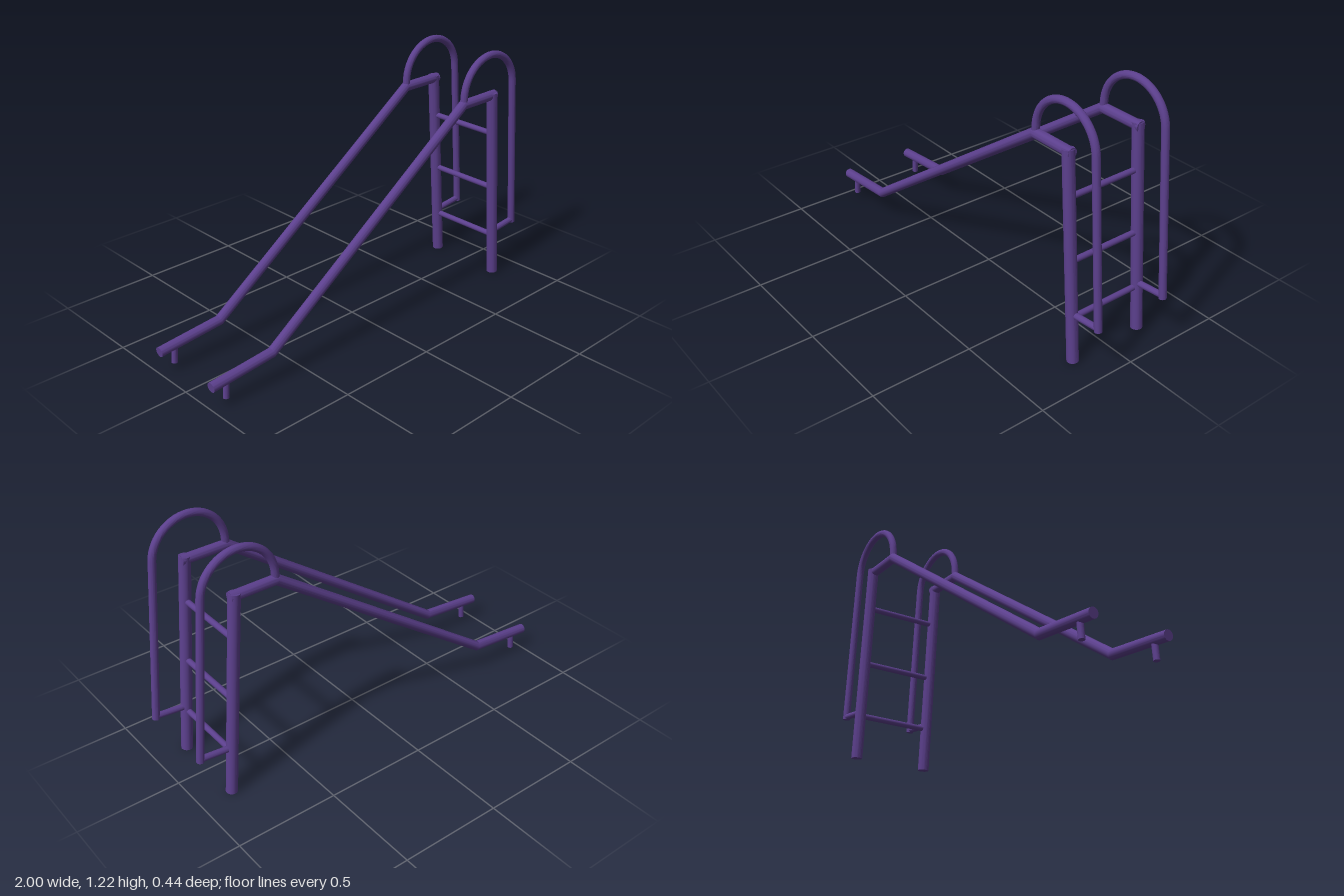
import * as THREE from 'three';
import { toCreasedNormals } from 'three/addons/utils/BufferGeometryUtils.js';

const SIDES = 24;
const material = new THREE.MeshStandardMaterial({ color: 0x5b3f8c });

// Capped round pipe along [x, y] points in a vertical plane, mitred at the bends
function pipe(name, points, radius) {
  const p = points.map(([x, y]) => new THREE.Vector2(x, y));
  const last = p.length - 1;
  const pos = [], index = [];
  p.forEach((c, i) => {
    const before = c.clone().sub(p[Math.max(i - 1, 0)]).normalize();
    const after = p[Math.min(i + 1, last)].clone().sub(c).normalize();
    const t = before.clone().add(after).normalize();
    const stretch = 1 / t.dot(i < last ? after : before);
    for (let j = 0; j < SIDES; j++) {
      const a = (j / SIDES) * Math.PI * 2;
      const n = Math.cos(a) * radius * stretch;
      pos.push(c.x - t.y * n, c.y + t.x * n, Math.sin(a) * radius);
    }
  });
  const start = pos.length / 3, end = start + 1;
  pos.push(p[0].x, p[0].y, 0, p[last].x, p[last].y, 0);
  for (let j = 0; j < SIDES; j++) {
    const k = (j + 1) % SIDES;
    for (let i = 0; i < last; i++) {
      const a = i * SIDES + j, b = i * SIDES + k;
      index.push(a, b, a + SIDES, b, b + SIDES, a + SIDES);
    }
    index.push(start, k, j, end, last * SIDES + j, last * SIDES + k);
  }
  const geo = new THREE.BufferGeometry();
  geo.setAttribute('position', new THREE.Float32BufferAttribute(pos, 3));
  geo.setIndex(index);
  const mesh = new THREE.Mesh(toCreasedNormals(geo, 0.45), material);
  mesh.name = name;
  return mesh;
}

const LEG_TOP = [0.758, 1.012], LEG_BOTTOM = [0.839, 0.003];
const legX = (y) => THREE.MathUtils.mapLinear(y, LEG_BOTTOM[1], LEG_TOP[1], LEG_BOTTOM[0], LEG_TOP[0]);

// Handrail: rises from the platform, arches over and runs down parallel to the ladder
function handrailPath() {
  const path = [[0.55, 0.99]];
  const from = Math.PI, to = 0.082, steps = 28;
  for (let i = 0; i <= steps; i++) {
    const a = from + (to - from) * (i / steps);
    path.push([0.735 + 0.18 * Math.cos(a), 1.026 + 0.18 * Math.sin(a)]);
  }
  path.push([0.981, 0.244]);
  return path;
}

export function createModel() {
  const model = new THREE.Group();
  model.name = 'slideFrame';

  // Matching side frames
  for (const s of [1, -1]) {
    const side = new THREE.Group();
    side.name = s > 0 ? 'frontSideFrame' : 'backSideFrame';
    const leg = pipe('ladderLeg', [LEG_BOTTOM, LEG_TOP], 0.0275);
    leg.position.z = s * 0.003;
    side.add(
      leg,
      pipe('slideRail', [[-0.998, 0.116], [-0.664, 0.146], [0.55, 0.997], [0.78, 0.997]], 0.024),
      pipe('handrail', handrailPath(), 0.018),
      pipe('handrailBrace', [[legX(0.24), 0.24], [0.98, 0.257]], 0.015),
      pipe('railFoot', [[-0.923, 0.032], [-0.917, 0.12]], 0.0145)
    );
    side.position.z = s * 0.19;
    model.add(side);
  }

  // Ladder rungs between the legs
  for (const y of [0.22, 0.495, 0.795]) {
    const rung = new THREE.Mesh(new THREE.CylinderGeometry(0.014, 0.014, 0.38, SIDES), material);
    rung.name = 'rung';
    rung.rotation.x = Math.PI / 2;
    rung.position.set(legX(y), y, 0);
    model.add(rung);
  }
  return model;
}
